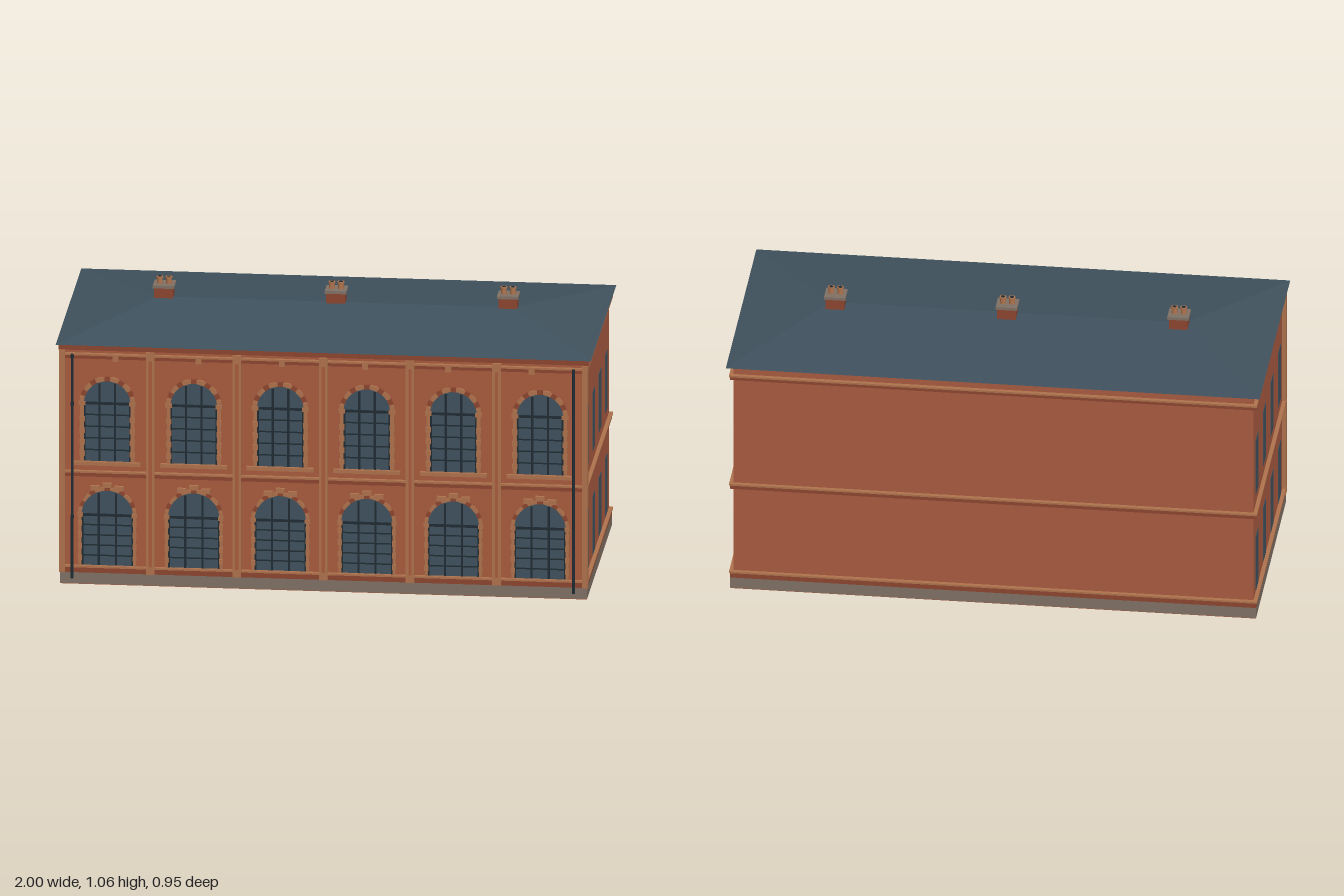
import * as THREE from 'three';

const mat = (name, color) => Object.assign(new THREE.MeshStandardMaterial({ color }), { name });

export function createModel() {
  const brick = mat('brick', 0xa85b3f);
  const darkBrick = mat('dark brick', 0x8c452f);
  const trim = mat('sandstone trim', 0xae724c);
  const stone = mat('plinth stone', 0x807064);
  const slate = mat('slate', 0x3f515d);
  const glass = mat('window glass', 0x3f515d);
  const iron = mat('dark iron', 0x1f2c33);

  const model = new THREE.Group();
  model.name = 'terraceBuilding';
  const CZ = -0.009;          // depth centre of the main block
  const BX = 0.974, BZ = 0.446; // half sizes of the main block
  const FZ = CZ + BZ;         // front wall plane

  const add = (parent, name, geometry, material) => {
    const mesh = new THREE.Mesh(geometry, material);
    mesh.name = name;
    parent.add(mesh);
    return mesh;
  };
  // box given by its extents
  const box = (parent, name, material, x0, x1, y0, y1, z0, z1) => {
    const m = add(parent, name, new THREE.BoxGeometry(x1 - x0, y1 - y0, z1 - z0), material);
    m.position.set((x0 + x1) / 2, (y0 + y1) / 2, (z0 + z1) / 2);
    return m;
  };
  // box running round the whole block, standing out by d
  const course = (name, material, d, y0, y1) =>
    box(model, name, material, -BX - d, BX + d, y0, y1, CZ - BZ - d, CZ + BZ + d);

  // main block and plinth
  course('walls', brick, 0, 0.01, 0.934);
  course('floorPlate', brick, 0.0105, 0, 0.002);
  course('plinth', stone, 0.011, 0.002, 0.045);

  // string courses
  for (const [y0, y1, y2] of [[0.045, 0.065, 0.072], [0.42, 0.435, 0.442], [0.88, 0.893, 0.9]]) {
    course('bandBrick', darkBrick, 0.011, y0, y1);
    course('bandTrim', trim, 0.015, y1, y2);
  }

  // hipped roof with closed underside
  const ex = 1, ez = 0.468, rx = 0.665, e = 0.934, r = 0.985;
  const A = [-ex, e, CZ + ez], B = [ex, e, CZ + ez], C = [ex, e, CZ - ez], D = [-ex, e, CZ - ez];
  const P = [-rx, r, CZ], Q = [rx, r, CZ];
  const roofGeo = new THREE.BufferGeometry();
  const tris = [A, B, Q, A, Q, P, B, C, Q, C, D, P, C, P, Q, D, A, P, A, D, C, A, C, B];
  roofGeo.setAttribute('position', new THREE.Float32BufferAttribute(tris.flat(), 3));
  roofGeo.computeVertexNormals();
  add(model, 'hippedRoof', roofGeo, slate);

  // chimneys with caps and paired pots
  for (const x of [-0.643, 0, 0.643]) {
    const chimney = new THREE.Group();
    chimney.name = 'chimney';
    chimney.position.set(x, 0, -0.025);
    box(chimney, 'chimneyStack', darkBrick, -0.035, 0.035, 0.95, 1.022, -0.031, 0.031);
    box(chimney, 'chimneyCap', stone, -0.04, 0.04, 1.022, 1.033, -0.037, 0.037);
    for (const s of [-1, 1]) {
      const pot = add(chimney, 'chimneyPot', new THREE.CylinderGeometry(0.01, 0.011, 0.02, 12), trim);
      pot.position.set(s * 0.017, 1.043, 0);
      const rim = add(chimney, 'chimneyPotRim', new THREE.CylinderGeometry(0.013, 0.013, 0.007, 12), trim);
      rim.position.set(s * 0.017, 1.0565, 0);
      const hole = add(chimney, 'potOpening', new THREE.CylinderGeometry(0.008, 0.008, 0.001, 12), iron);
      hole.position.set(s * 0.017, 1.0602, 0);
    }
    model.add(chimney);
  }

  // side windows
  for (const s of [-1, 1]) for (const z of [0.332, 0.105, -0.123, -0.35])
    for (const y of [0.078, 0.483])
      box(model, 'sideWindow', glass, s * BX - 0.002, s * BX + 0.002, y, y + 0.228, z - 0.04, z + 0.04);

  // front pilasters, fascia and frieze brackets
  const bay = 0.3235;
  for (let i = -2; i <= 2; i++) {
    const x = i * bay;
    box(model, 'pilaster', trim, x - 0.016, x + 0.016, 0.045, 0.911, FZ - 0.005, FZ + 0.0155);
    box(model, 'pilasterFace', brick, x - 0.006, x + 0.006, 0.075, 0.878, FZ + 0.015, FZ + 0.0165);
  }
  for (const s of [-1, 1]) {
    const x = s * 0.977;
    box(model, 'cornerPilaster', trim, x - 0.011, x + 0.011, 0.045, 0.911, FZ - 0.012, FZ + 0.0155);
  }
  box(model, 'fascia', darkBrick, -0.991, 0.991, 0.911, 0.934, FZ - 0.012, FZ + 0.006);
  for (let i = 0; i < 6; i++) {
    const x = (i - 2.5) * 0.311;
    box(model, 'friezeBracket', trim, x - 0.011, x + 0.011, 0.872, 0.9, FZ, FZ + 0.0158);
  }

  // arched outline, flat sill to semicircle
  const archPath = (path, w, y0, spring) => {
    path.moveTo(-w, y0);
    path.lineTo(w, y0);
    path.lineTo(w, spring);
    path.absarc(0, spring, w, 0, Math.PI, false);
    path.lineTo(-w, y0);
    return path;
  };

  // arched front window; w is the half width of the glass
  const archedWindow = (cx, y0, spring, w, t, lower) => {
    const g = new THREE.Group();
    g.name = lower ? 'groundFloorWindow' : 'upperFloorWindow';
    g.position.set(cx, 0, FZ);
    const pane = add(g, 'archedGlass', new THREE.ShapeGeometry(archPath(new THREE.Shape(), w, y0, spring), 16), glass);
    pane.position.z = 0.002;
    // surround
    const frame = archPath(new THREE.Shape(), w + t, y0, spring);
    frame.holes.push(archPath(new THREE.Path(), w, y0 + 0.001, spring));
    add(g, 'archSurround', new THREE.ExtrudeGeometry(frame, { depth: 0.007, bevelEnabled: false, curveSegments: 16 }), trim);
    // arch stones
    const n = 11;
    for (let i = 0; i < n; i++) {
      const a = Math.PI * (i + 0.5) / n, rad = w + t * 0.6;
      const v = box(g, 'archStone', i % 2 ? darkBrick : trim, -t * 0.6, t * 0.6, -0.0105, 0.0105, 0, 0.01);
      v.position.set(Math.cos(a) * rad, spring + Math.sin(a) * rad, 0.005);
      v.rotation.z = a;
    }
    // jamb blocks and impost
    for (const s of [-1, 1]) {
      const x = s * (w + t / 2);
      for (let y = y0 + 0.02; y < spring - 0.03; y += 0.045)
        box(g, 'jambBlock', trim, x - t * 0.7, x + t * 0.7, y, y + 0.02, 0, 0.009);
      box(g, 'impost', trim, x - t * 0.9, x + t * 0.9, spring - 0.008, spring + 0.006, 0, 0.011);
    }
    // glazing bars
    const h = spring - y0;
    for (const s of [-1, 1]) {
      const x = s * w / 3;
      box(g, 'verticalBar', iron, x - 0.004, x + 0.004, y0, spring + w * 0.88, 0.001, 0.004);
      box(g, 'frameStile', iron, s * (w - 0.003) - 0.003, s * (w - 0.003) + 0.003, y0, spring, 0.001, 0.004);
    }
    for (let i = 1; i < 5; i++)
      box(g, 'horizontalBar', iron, -w, w, y0 + h * i / 5 - 0.0025, y0 + h * i / 5 + 0.0025, 0.001, 0.0045);
    box(g, 'transom', iron, -w, w, spring - 0.006, spring + 0.004, 0.001, 0.005);
    // sill, or stepped keystones
    if (lower) {
      for (const [x, y] of [[-0.045, 0.366], [0, 0.378], [0.045, 0.366]])
        box(g, 'keystone', trim, x - 0.017, x + 0.017, y, y + 0.018, 0, 0.012);
    } else {
      box(g, 'sill', trim, -0.125, 0.125, y0 - 0.014, y0, 0, 0.014);
    }
    model.add(g);
  };
  for (let i = 0; i < 6; i++) {
    const x = (i - 2.5) * bay;
    archedWindow(x, 0.478, 0.706, 0.087, 0.014, false);
    archedWindow(x, 0.072, 0.27, 0.096, 0.011, true);
  }

  // downpipes with collars
  for (const s of [-1, 1]) {
    const pipe = new THREE.Group();
    pipe.name = 'downpipe';
    pipe.position.set(s * 0.937, 0, 0.4735);
    pipe.scale.z = 0.65;
    const tube = add(pipe, 'pipe', new THREE.CylinderGeometry(0.005, 0.005, 0.875, 10), iron);
    tube.position.y = 0.4675;
    for (const y of [0.27, 0.71, 0.895])
      add(pipe, 'pipeCollar', new THREE.CylinderGeometry(0.0065, 0.0065, 0.012, 10), iron).position.y = y;
    const foot = add(pipe, 'lowerPipe', new THREE.CylinderGeometry(0.0062, 0.0062, 0.24, 10), iron);
    foot.position.y = 0.15;
    model.add(pipe);
  }
  return model;
}
